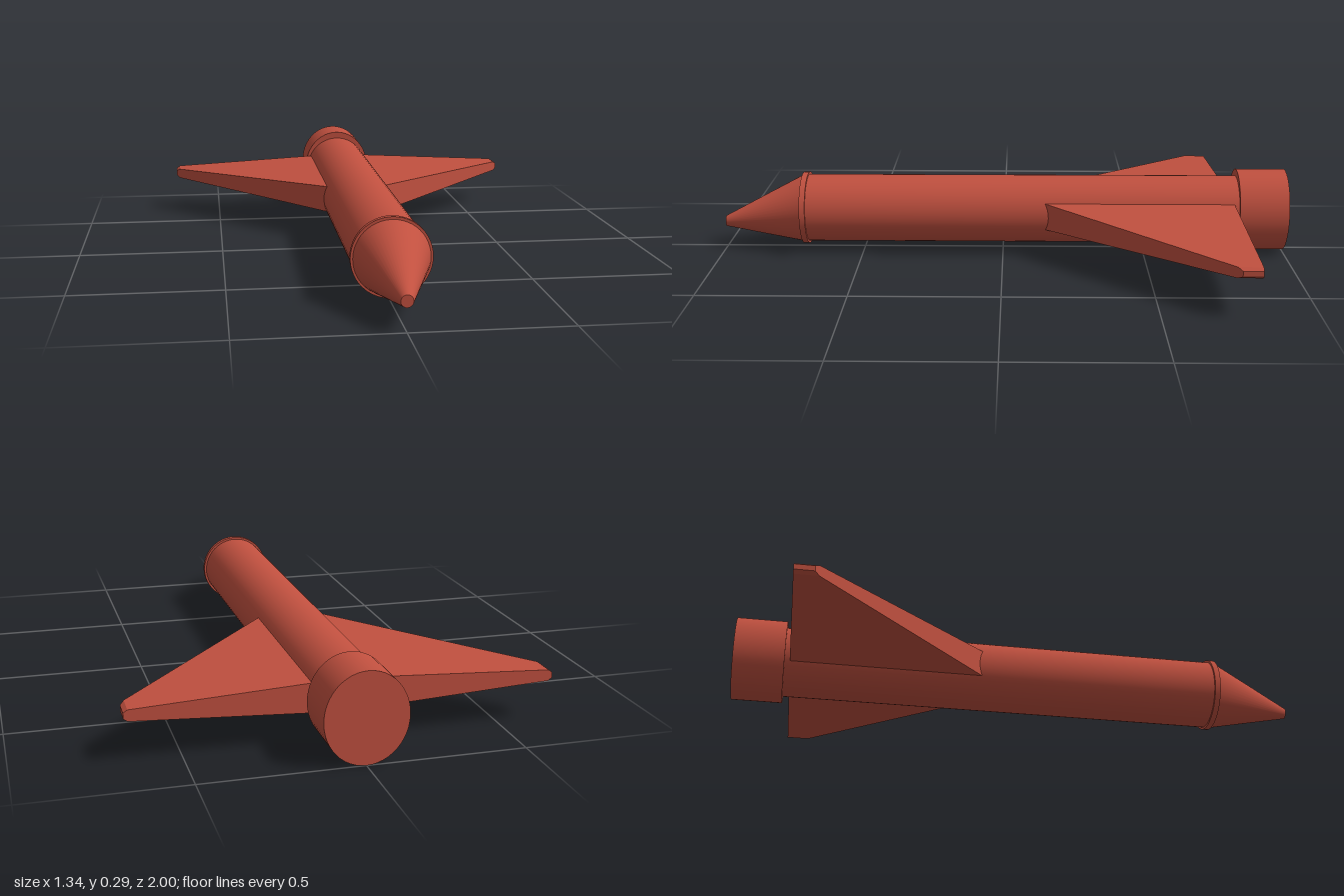
import * as THREE from 'three';

const AXIS_Y = 0.145; // height of the fuselage centreline
const material = new THREE.MeshStandardMaterial({ color: 0xc0503f });

// Capped round section running along z from zBack to zFront
function tube(name, rBack, rFront, zBack, zFront) {
  const geometry = new THREE.CylinderGeometry(rFront, rBack, zFront - zBack, 48);
  geometry.rotateX(Math.PI / 2);
  geometry.translate(0, 0, (zBack + zFront) / 2);
  const mesh = new THREE.Mesh(geometry, material);
  mesh.name = name;
  mesh.position.y = AXIS_Y;
  return mesh;
}

// Tapered wing lofted through four-cornered sections; side is +1 or -1
function wing(name, side) {
  // x, leading edge z, half thickness
  const sections = [
    [0.08, -0.117, 0.049],
    [0.657, -0.731, 0.018],
    [0.67, -0.745, 0.009],
  ];
  const trailingZ = -0.81;
  const positions = [];
  const index = [];
  for (const [x, lead, half] of sections) {
    positions.push(side * x, half, lead, side * x, half, trailingZ);
    positions.push(side * x, -half, trailingZ, side * x, -half, lead);
  }
  const quad = (a, b, c, d) =>
    side > 0 ? index.push(a, b, c, a, c, d) : index.push(a, c, b, a, d, c);
  for (let s = 0; s < sections.length - 1; s++) {
    for (let k = 0; k < 4; k++) {
      const a = s * 4 + k, b = s * 4 + (k + 1) % 4;
      quad(a, a + 4, b + 4, b);
    }
  }
  const tip = (sections.length - 1) * 4;
  quad(0, 1, 2, 3);
  quad(tip + 3, tip + 2, tip + 1, tip);

  const indexed = new THREE.BufferGeometry();
  indexed.setAttribute('position', new THREE.Float32BufferAttribute(positions, 3));
  indexed.setIndex(index);
  const geometry = indexed.toNonIndexed();
  geometry.computeVertexNormals();
  const mesh = new THREE.Mesh(geometry, material);
  mesh.name = name;
  mesh.position.y = AXIS_Y + 0.002;
  return mesh;
}

export function createModel() {
  const model = new THREE.Group();
  model.name = 'rocketPlane';

  model.add(tube('fuselage', 0.12, 0.12, -0.84, 0.71));
  model.add(tube('noseCollar', 0.128, 0.128, 0.695, 0.715));

  // Tail nozzle is slightly taller than wide
  const nozzle = tube('tailNozzle', 0.13, 0.13, -1, -0.828);
  nozzle.scale.y = 0.145 / 0.13;
  model.add(nozzle);

  // Nose cone droops: slide each ring down in proportion to its distance forward
  const nose = tube('noseCone', 0.122, 0.019, 0.71, 1);
  const p = nose.geometry.attributes.position;
  for (let i = 0; i < p.count; i++) {
    p.setY(i, p.getY(i) - 0.052 * (p.getZ(i) - 0.71) / 0.29);
  }
  model.add(nose);

  model.add(wing('leftWing', 1), wing('rightWing', -1));
  return model;
}
